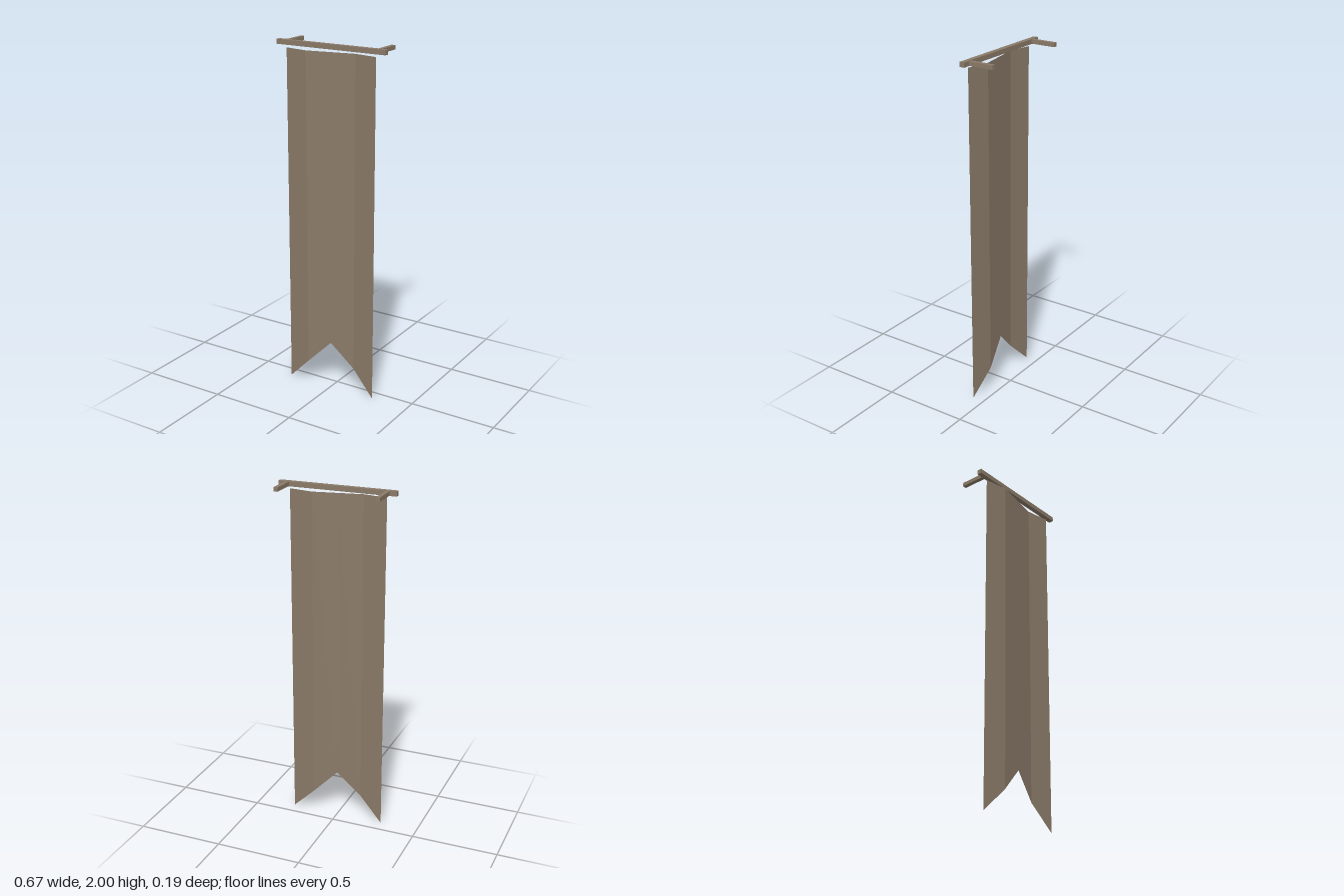
import * as THREE from 'three';

const material = new THREE.MeshStandardMaterial({ color: 0x8a7a68, flatShading: true });
const clothMaterial = new THREE.MeshStandardMaterial({
  color: 0x8a7a68, flatShading: true, side: THREE.DoubleSide,
});

function box(name, w, h, d, x, y, z) {
  const mesh = new THREE.Mesh(new THREE.BoxGeometry(w, h, d), material);
  mesh.name = name;
  mesh.position.set(x, y, z);
  return mesh;
}

// Cloth sheet folded in four strips, with a swallowtail notch at the bottom
function createCloth() {
  const halfWidth = 0.278, top = 1.958, notch = 0.28, depth = 0.07, fold = 0.025;
  const geometry = new THREE.PlaneGeometry(2 * halfWidth, 1, 4, 1);
  const pos = geometry.attributes.position;
  for (let i = 0; i < pos.count; i++) {
    const t = pos.getX(i) / halfWidth; // -1 to 1 across the cloth
    const hem = notch * (1 - Math.abs(t));
    pos.setY(i, pos.getY(i) > 0 ? top : hem);
    pos.setZ(i, depth - fold * Math.sin(t * Math.PI));
  }
  geometry.computeVertexNormals();
  const cloth = new THREE.Mesh(geometry, clothMaterial);
  cloth.name = 'bannerCloth';
  return cloth;
}

export function createModel() {
  const group = new THREE.Group();
  group.name = 'hangingBanner';
  group.add(createCloth());

  // Crossbar and the two arms reaching back to the wall
  group.add(box('crossbar', 0.674, 0.027, 0.028, 0, 1.9865, 0.064));
  for (const side of [1, -1]) {
    const name = side > 0 ? 'leftWallArm' : 'rightWallArm';
    group.add(box(name, 0.023, 0.023, 0.145, side * 0.286, 1.9865, -0.0225));
  }
  return group;
}
